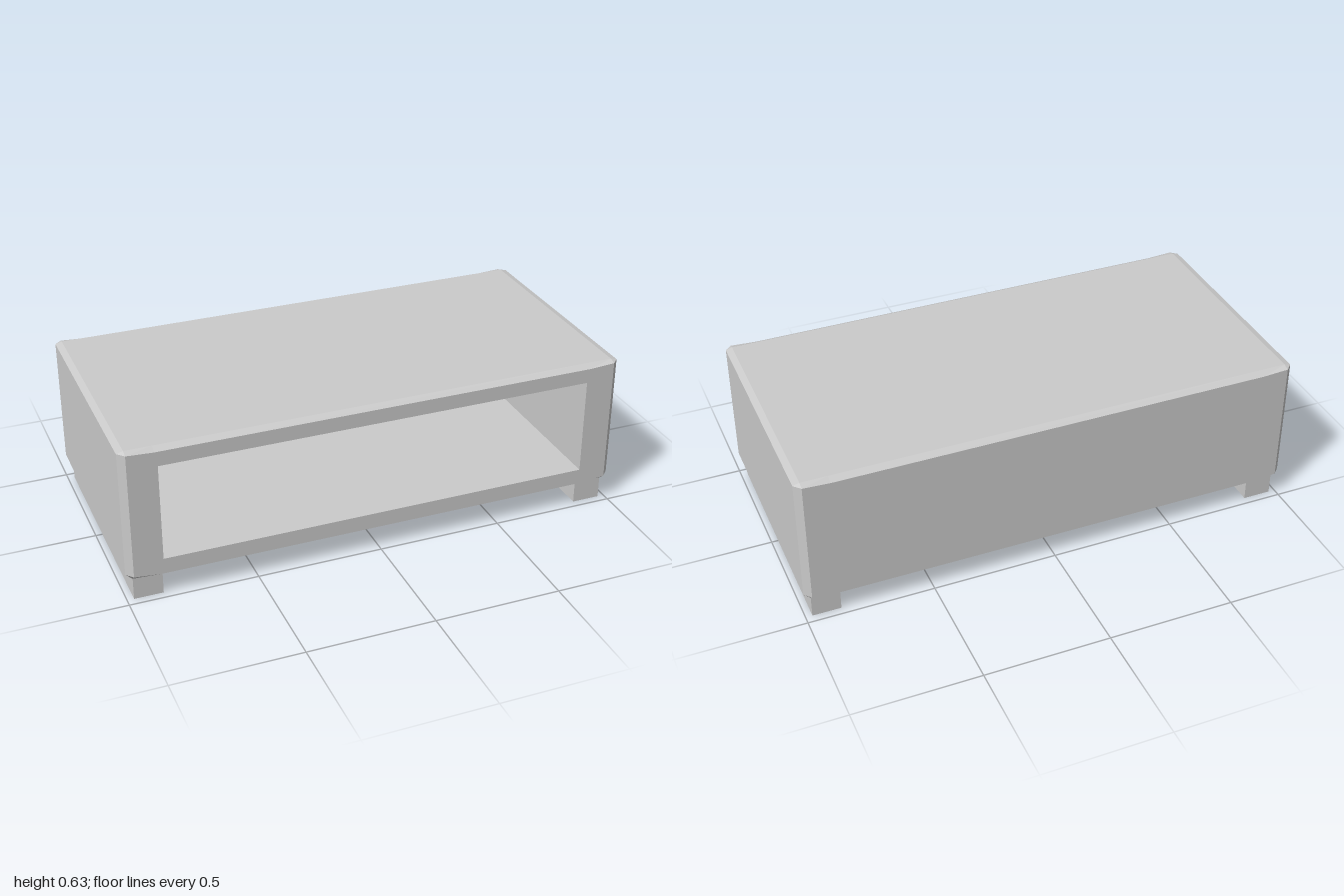
import * as THREE from 'three';

const material = new THREE.MeshStandardMaterial({ color: 0xcccccc, flatShading: true });

function addMesh(group, name, geometry) {
  const mesh = new THREE.Mesh(geometry, material);
  mesh.name = name;
  group.add(mesh);
  return mesh;
}

// Joins closed rings of points with quads; skip(level, side) leaves a gap.
function loft(rings, { skip = () => false, capStart = false, capEnd = false } = {}) {
  const n = rings[0].length;
  const index = [];
  for (let l = 0; l < rings.length - 1; l++) {
    for (let i = 0; i < n; i++) {
      if (skip(l, i)) continue;
      const j = (i + 1) % n;
      const a = l * n + i, b = l * n + j, c = b + n, d = a + n;
      index.push(a, b, c, a, c, d);
    }
  }
  const last = (rings.length - 1) * n;
  for (let i = 1; i < n - 1; i++) {
    if (capStart) index.push(0, i + 1, i);
    if (capEnd) index.push(last, last + i, last + i + 1);
  }
  const geometry = new THREE.BufferGeometry();
  geometry.setAttribute('position', new THREE.Float32BufferAttribute(rings.flat(2), 3));
  geometry.setIndex(index);
  const flat = geometry.toNonIndexed();
  flat.computeVertexNormals();
  return flat;
}

const W = 1, D = 0.495, BEVEL = 0.026;
const OPEN = { x: 0.86, y0: 0.165, y1: 0.555, back: -0.43 };

// Plan of the body, counter-clockwise from above, starting at the front left of centre.
// kind: 0 = middle of a long face, 1 = its corner, 2 = short face.
const quarter = [[0.87, D, 0], [W - BEVEL, D, 1], [W, D - BEVEL, 2]];
const mirrored = (sx, sz) => quarter.map(([x, z, k]) => [x * sx, z * sz, k]);
const plan = [
  ...mirrored(1, 1), ...mirrored(1, -1).reverse(),
  ...mirrored(-1, -1), ...mirrored(-1, 1).reverse(),
];
const outer = (heights) => plan.map(([x, z, k]) => [x, heights[k], z]);
const inset = (y) => plan.map(([x, z]) => [
  THREE.MathUtils.clamp(x, BEVEL - W, W - BEVEL), y,
  THREE.MathUtils.clamp(z, BEVEL - D, D - BEVEL),
]);

export function createModel() {
  const model = new THREE.Group();
  model.name = 'lowMediaTable';

  // Bevelled outer shell, without the flat front
  const low = [0.102, 0.112, 0.114], high = [0.613, 0.619, 0.62];
  const isFront = (i) => plan[i][1] === D && plan[(i + 1) % plan.length][1] === D;
  addMesh(model, 'cabinetShell', loft(
    [inset(0.09), outer(low), outer(high), inset(0.627)],
    { skip: (l, i) => l === 1 && isFront(i), capStart: true, capEnd: true },
  ));

  // Front frame around the opening
  const c = W - BEVEL;
  const outline = [
    [-c, low[1]], [-0.87, low[0]], [0.87, low[0]], [c, low[1]],
    [c, high[1]], [0.87, high[0]], [-0.87, high[0]], [-c, high[1]],
  ];
  const frame = new THREE.Shape(outline.map(([x, y]) => new THREE.Vector2(x, y)));
  const corners = [[-OPEN.x, OPEN.y0], [-OPEN.x, OPEN.y1], [OPEN.x, OPEN.y1], [OPEN.x, OPEN.y0]];
  frame.holes.push(new THREE.Path(corners.map(([x, y]) => new THREE.Vector2(x, y))));
  addMesh(model, 'frontFrame', new THREE.ShapeGeometry(frame).translate(0, 0, D));

  // Open compartment: inward-facing walls and back panel
  const ring = (z) => [...corners].reverse().map(([x, y]) => [x, y, z]);
  addMesh(model, 'compartmentWalls', loft([ring(D), ring(OPEN.back)]));
  const panel = new THREE.PlaneGeometry(2 * OPEN.x, OPEN.y1 - OPEN.y0);
  addMesh(model, 'compartmentBack', panel)
    .position.set(0, (OPEN.y0 + OPEN.y1) / 2, OPEN.back);

  // Two runners under the short sides
  for (const [name, side] of [['leftRunner', 1], ['rightRunner', -1]]) {
    addMesh(model, name, new THREE.BoxGeometry(0.113, 0.092, 0.936))
      .position.set(side * 0.917, 0.046, 0);
  }
  return model;
}
